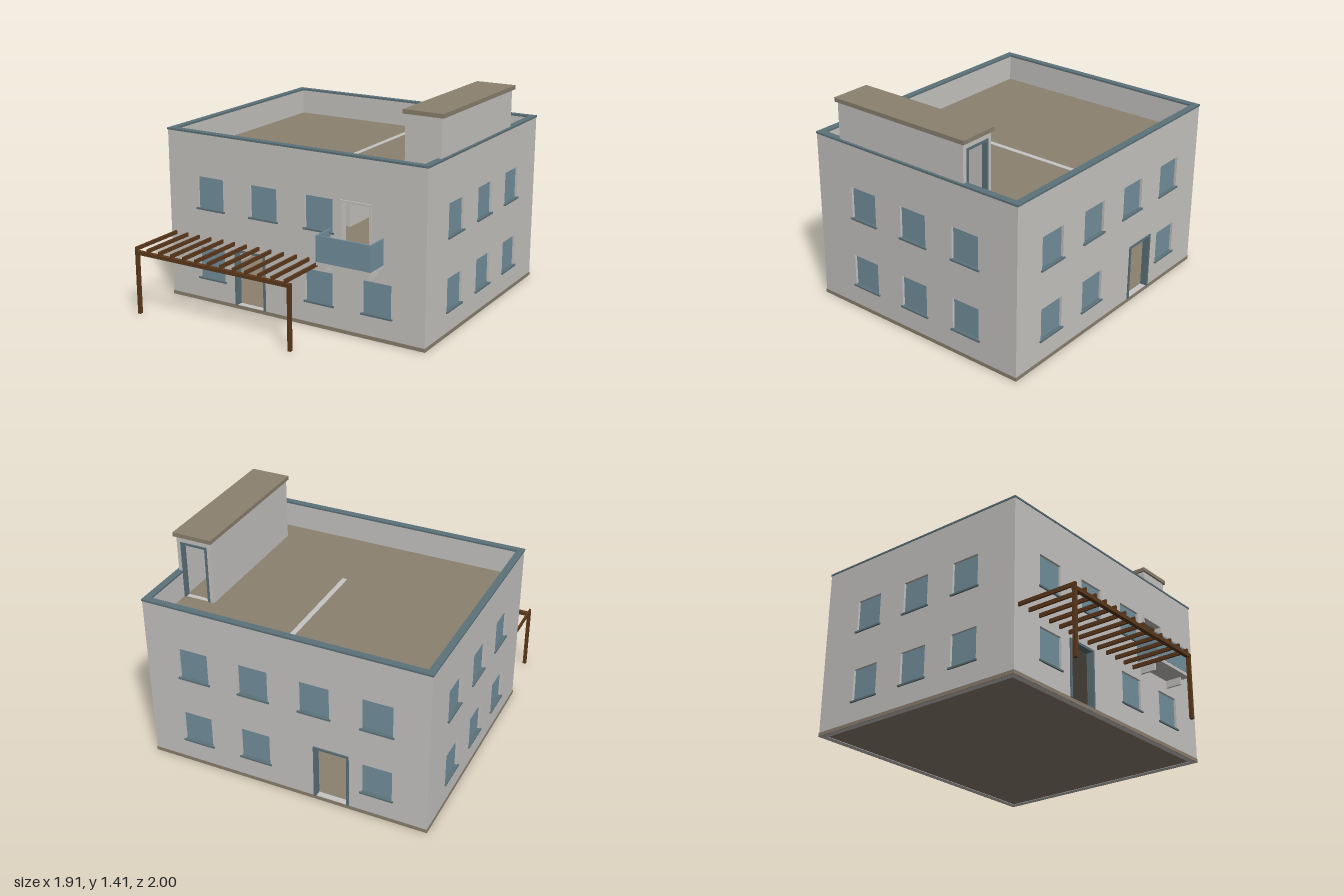
import * as THREE from 'three';

const mat = (name, color) => {
  const m = new THREE.MeshStandardMaterial({ color });
  m.name = name;
  return m;
};

export function createModel() {
  const plaster = mat('plaster', 0xc8c6c3);
  const glass = mat('blueGlass', 0x74919e);
  const trim = mat('slateTrim', 0x5c7279);
  const slab = mat('brownSlab', 0x8b8170);
  const wood = mat('darkWood', 0x5e3a1c);

  const model = new THREE.Group();
  model.name = 'house';
  const group = (name, parent = model) => {
    const g = new THREE.Group();
    g.name = name;
    parent.add(g);
    return g;
  };
  // Box given by its limits on each axis
  const box = (parent, name, m, [x0, x1], [y0, y1], [z0, z1]) => {
    const mesh = new THREE.Mesh(new THREE.BoxGeometry(x1 - x0, y1 - y0, z1 - z0), m);
    mesh.position.set((x0 + x1) / 2, (y0 + y1) / 2, (z0 + z1) / 2);
    mesh.name = name;
    parent.add(mesh);
    return mesh;
  };

  const W = 0.945, FRONT = 0.59, BACK = -0.99, MID = -0.2, T = 0.04, TOP = 1.13;
  const LOW = 0.16, HIGH = 0.635;

  // Upright plate with rectangular openings [x0, x1, y0, y1]; outer face at z = 0
  const plate = (parent, name, x0, x1, y0, y1, thick, openings) => {
    const rect = (S, a, b, c, d) => {
      const s = new S();
      s.moveTo(a, c).lineTo(b, c).lineTo(b, d).lineTo(a, d).closePath();
      return s;
    };
    const shape = rect(THREE.Shape, x0, x1, y0, y1);
    openings.forEach(o => shape.holes.push(rect(THREE.Path, ...o)));
    const geo = new THREE.ExtrudeGeometry(shape, { depth: thick, bevelEnabled: false });
    geo.translate(0, 0, -thick);
    const mesh = new THREE.Mesh(geo, plaster);
    mesh.name = name;
    parent.add(mesh);
  };

  // Frame of two jambs and a head around a door opening
  const doorFrame = (parent, [x0, x1, y0, y1], m, z = [-T, 0.008]) => {
    const f = 0.013;
    box(parent, 'doorJamb', m, [x0 - f, x0 + 0.002], [y0, y1 + f], z);
    box(parent, 'doorJamb', m, [x1 - 0.002, x1 + f], [y0, y1 + f], z);
    box(parent, 'doorHead', m, [x0, x1], [y1 - 0.002, y1 + f], z);
  };

  // One facade with windows [x, sill height] and doors, drawn facing +z
  const facade = (name, width, windows, doors, place) => {
    const g = group(name);
    const h = width / 2;
    const holes = windows.map(([x, y]) => [x - 0.1, x + 0.1, y, y + 0.215]);
    plate(g, 'wall', -h, h, 0, TOP, T, [...holes, ...doors.map(d => d.rect)]);
    holes.forEach(([x0, x1, y0, y1]) => {
      box(g, 'windowPane', glass, [x0, x1], [y0, y1], [-0.026, -0.016]);
      box(g, 'windowSill', trim, [x0 - 0.01, x1 + 0.01], [y0 - 0.006, y0 + 0.005], [-0.016, 0.01]);
    });
    doors.forEach(d => doorFrame(g, d.rect, d.material));
    place(g);
    return g;
  };

  const grid = (xs, y) => xs.map(x => [x, y]);
  const entrance = [-0.42, -0.21, 0.025, 0.39];

  facade('frontFacade', 2 * W,
    [...grid([-0.615, -0.205, 0.205], HIGH), ...grid([-0.615, 0.205, 0.615], LOW)],
    [{ rect: entrance, material: trim }, { rect: [0.372, 0.565, 0.49, 0.845], material: plaster }],
    g => g.position.set(0, 0, FRONT));

  facade('backFacade', 2 * W,
    [...grid([-0.615, -0.205, 0.205, 0.615], HIGH), ...grid([-0.615, -0.205, 0.615], LOW)],
    [{ rect: [0.21, 0.42, 0.025, 0.39], material: trim }],
    g => { g.position.set(0, 0, BACK); g.rotation.y = Math.PI; });

  for (const s of [-1, 1]) {
    const xs = [-0.407, 0, 0.407];
    facade(s > 0 ? 'leftFacade' : 'rightFacade', FRONT - BACK - 2 * T,
      [...grid(xs, HIGH), ...grid(xs, LOW)], [],
      g => { g.position.set(s * W, 0, MID); g.rotation.y = s * Math.PI / 2; });
  }

  // Floors, flat roof and the dividing wall whose top shows on the roof
  const inX = [-W + T, W - T], inZ = [BACK + T, FRONT - T];
  const floors = group('floors');
  box(floors, 'groundFloor', slab, inX, [0.003, 0.025], inZ);
  box(floors, 'upperFloor', slab, inX, [0.46, 0.488], inZ);
  box(floors, 'roofDeck', slab, inX, [0.93, 0.96], inZ);
  box(floors, 'dividingWall', plaster, [0.06, 0.093], [0.025, 0.963], [BACK + T, 0.03]);

  // Ring of four strips: used for plinth and parapet coping
  const ring = (name, m, out, inn, y) => {
    const g = group(name);
    const xo = W + out, xi = W - inn;
    box(g, name + 'Front', m, [-xo, xo], y, [FRONT - inn, FRONT + out]);
    box(g, name + 'Back', m, [-xo, xo], y, [BACK - out, BACK + inn]);
    for (const s of [-1, 1]) {
      const x = s > 0 ? [xi, xo] : [-xo, -xi];
      box(g, name + 'Side', m, x, y, [BACK + inn, FRONT - inn]);
    }
  };
  ring('plinth', slab, 0.003, 0.001, [0, 0.024]);
  ring('coping', trim, 0.004, T + 0.001, [TOP, 1.142]);

  // Stair house on the roof, open at the back
  const stair = group('stairHouse');
  box(stair, 'stairWallInner', plaster, [0.69, 0.72], [0.96, 1.385], [-0.56, 0.4]);
  box(stair, 'stairWallOuter', plaster, [0.9, 0.932], [0.96, 1.385], [-0.56, 0.4]);
  box(stair, 'stairWallFront', plaster, [0.72, 0.9], [0.96, 1.385], [0.37, 0.4]);
  const end = group('stairEntrance', stair);
  const gap = [-0.08, 0.08, 0.96, 1.335];
  plate(end, 'stairEndWall', -0.121, 0.121, 0.959, 1.385, 0.03, [[-0.08, 0.08, 0.961, 1.335]]);
  doorFrame(end, gap, trim, [-0.03, 0.006]);
  end.position.set(0.811, 0, -0.59);
  end.rotation.y = Math.PI;
  box(stair, 'stairRoof', slab, [0.678, 0.947], [1.385, 1.412], [-0.607, 0.412]);

  // Balcony with glazed railing and two brackets
  const balcony = group('balcony');
  box(balcony, 'balconyFloor', plaster, [0.282, 0.658], [0.472, 0.497], [FRONT, 0.742]);
  box(balcony, 'railingFront', glass, [0.28, 0.66], [0.495, 0.662], [0.734, 0.744]);
  for (const x of [0.28, 0.65]) {
    box(balcony, 'railingSide', glass, [x, x + 0.01], [0.495, 0.662], [FRONT, 0.734]);
  }
  for (const x of [0.32, 0.618]) {
    box(balcony, 'bracket', plaster, [x - 0.007, x + 0.007], [0.422, 0.472], [FRONT, 0.698]);
  }

  // Timber pergola over the entrance
  const pergola = group('pergola');
  for (const x of [-0.905, 0.25]) {
    box(pergola, 'post', wood, [x - 0.011, x + 0.011], [0, 0.405], [0.974, 0.996]);
  }
  box(pergola, 'beam', wood, [-0.916, 0.263], [0.402, 0.426], [0.972, 0.998]);
  for (let i = 0; i < 13; i++) {
    const x = -0.908 + i * 0.0945;
    box(pergola, 'rafter', wood, [x - 0.006, x + 0.006], [0.426, 0.451], [FRONT, 0.998]);
  }

  return model;
}
